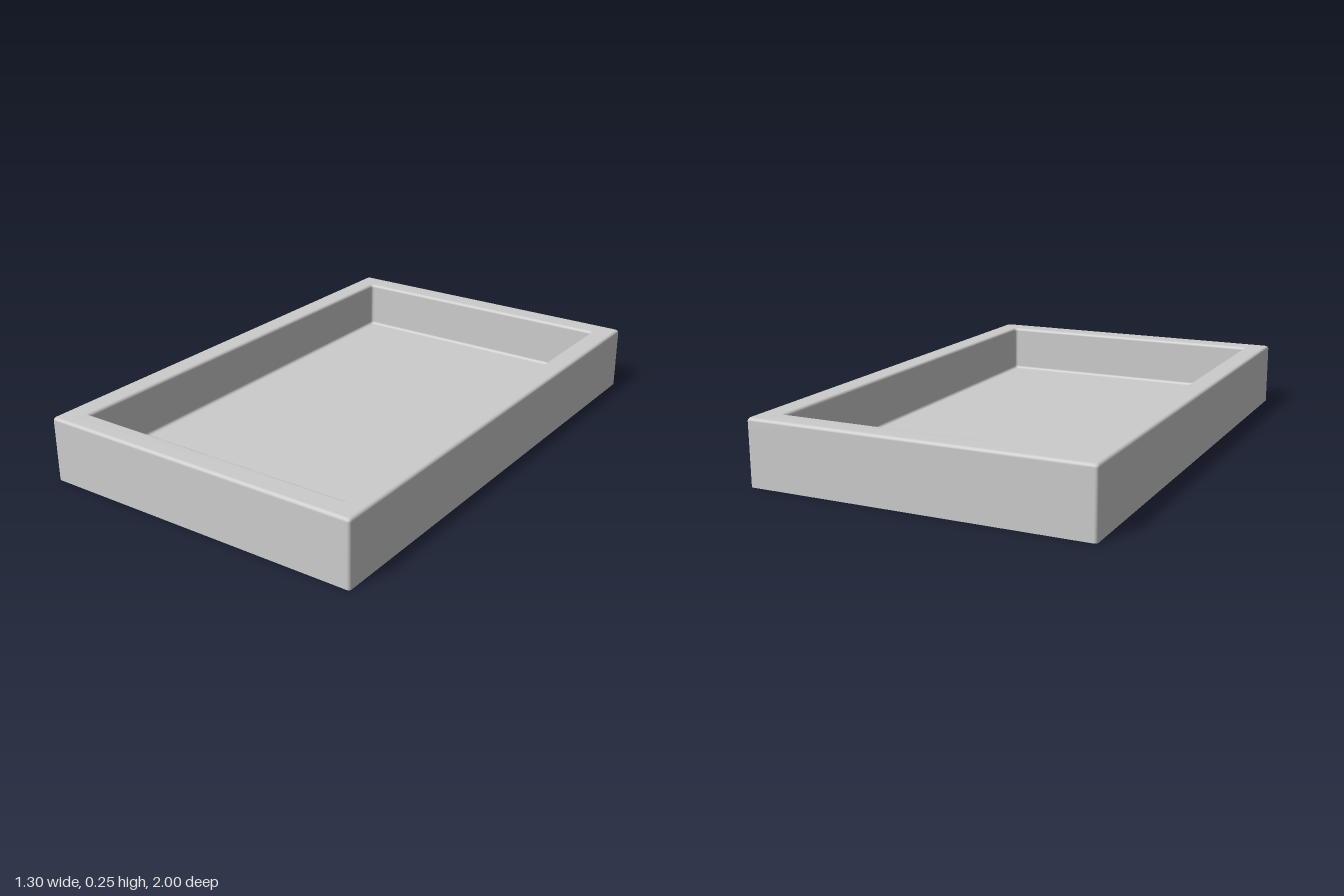
import * as THREE from 'three';

const HALF_X = 0.65, HALF_Z = 1, HEIGHT = 0.25, FLOOR = 0.057;
const RIM_X = 0.089, RIM_Z = 0.097, R = 0.012, STEPS = 5;

// Quarter-round in the wall profile: [inset, y] pairs around a centre
function quarter(cx, cy, from, to) {
  return Array.from({ length: STEPS + 1 }, (_, i) => {
    const a = from + (to - from) * i / STEPS;
    return [cx + R * Math.cos(a), cy + R * Math.sin(a)];
  });
}

// Rounded rectangle of half sizes hx, hz at height y
function ring(hx, hz, y) {
  const points = [];
  [[1, 1], [-1, 1], [-1, -1], [1, -1]].forEach(([sx, sz], corner) => {
    for (let i = 0; i <= STEPS; i++) {
      const a = (corner + i / STEPS) * Math.PI / 2;
      points.push([sx * (hx - R) + R * Math.cos(a), y, sz * (hz - R) + R * Math.sin(a)]);
    }
  });
  return points;
}

export function createModel() {
  const PI = Math.PI;
  // Wall profile: up the outside, over the rim, down the inside, onto the floor
  const profile = [
    [0, 0],
    ...quarter(R, HEIGHT - R, PI, PI / 2),
    ...quarter(RIM_X - R, HEIGHT - R, PI / 2, 0),
    ...quarter(RIM_X + R, FLOOR + R, PI, PI * 1.5),
  ];
  const rings = profile.map(([d, y]) => ring(HALF_X - d, HALF_Z - d * RIM_Z / RIM_X, y));
  const n = rings[0].length;
  const positions = rings.flat(2);
  const index = [];
  for (let i = 0; i < rings.length - 1; i++) {
    for (let j = 0; j < n; j++) {
      const k = (j + 1) % n;
      const a = i * n + j, b = a + n, c = i * n + k, d = c + n;
      index.push(a, b, c, c, b, d);
    }
  }

  // Floor closes the last ring; the underside stays open
  const last = (rings.length - 1) * n, centre = rings.length * n;
  positions.push(0, FLOOR, 0);
  for (let j = 0; j < n; j++) index.push(last + j, centre, last + (j + 1) % n);

  const geometry = new THREE.BufferGeometry();
  geometry.setAttribute('position', new THREE.Float32BufferAttribute(positions, 3));
  geometry.setIndex(index);
  geometry.computeVertexNormals();

  const tray = new THREE.Mesh(geometry, new THREE.MeshStandardMaterial({
    color: 0xcccccc, side: THREE.DoubleSide,
  }));
  tray.name = 'trayShell';
  const group = new THREE.Group();
  group.name = 'tray';
  group.add(tray);
  return group;
}
